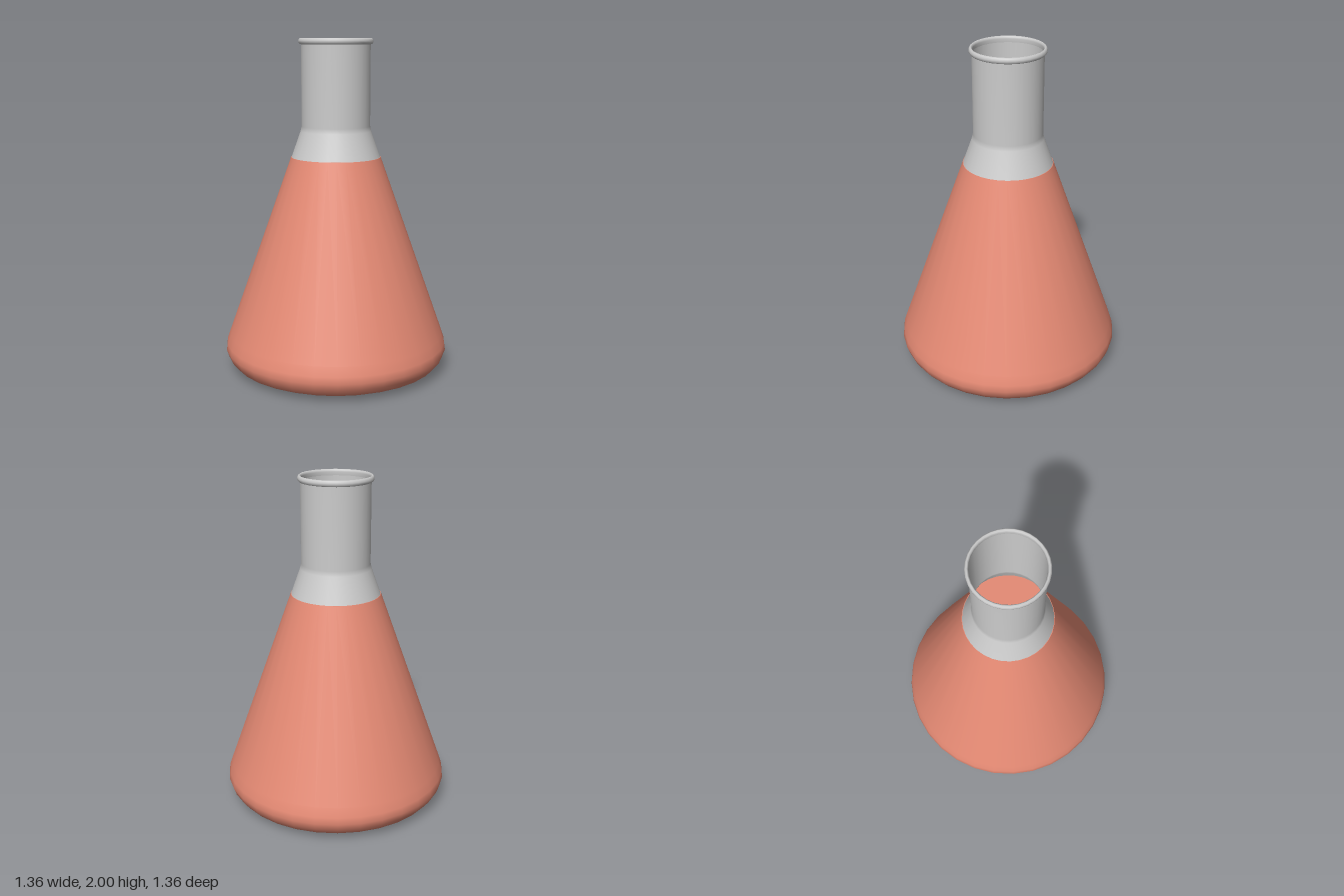
import * as THREE from 'three';

const SIDES = 32;

function lathe(name, profile, material) {
  const points = profile.map(([r, y]) => new THREE.Vector2(r, y));
  const mesh = new THREE.Mesh(new THREE.LatheGeometry(points, SIDES), material);
  mesh.name = name;
  return mesh;
}

export function createModel() {
  const group = new THREE.Group();
  group.name = 'conicalFlask';
  const glass = new THREE.MeshStandardMaterial({ color: 0xcccccc, side: THREE.DoubleSide });
  const liquid = new THREE.MeshStandardMaterial({ color: 0xe58a74, side: THREE.DoubleSide });

  // Rounded base and the start of the cone, shared by glass and liquid
  const base = [
    [0, 0.004], [0.3, 0.006], [0.5, 0.011], [0.58, 0.022], [0.63, 0.045],
    [0.662, 0.082], [0.677, 0.125], [0.671, 0.165], [0.652, 0.22],
  ];

  // Thin glass wall: base, cone, shoulder and straight neck
  group.add(lathe('glassBody', [
    ...base, [0.266, 1.3], [0.211, 1.455], [0.205, 1.485], [0.205, 1.98],
  ], glass));

  // Rolled bead around the mouth
  group.add(lathe('rim', [
    [0.203, 1.963], [0.213, 1.965], [0.22, 1.973], [0.221, 1.984],
    [0.217, 1.995], [0.21, 2], [0.203, 1.995], [0.2, 1.984], [0.203, 1.963],
  ], glass));

  // Liquid fills the cone, a hair outside the thin glass so its colour shows
  const skin = 0.003;
  group.add(lathe('liquid', [
    ...base.map(([r, y], i) => [r === 0 ? 0 : r + skin, i < 5 ? y - skin : y]),
    [0.266 + skin, 1.3],
  ], liquid));

  // Flat top of the liquid, seen through the mouth
  const surface = new THREE.Mesh(new THREE.CircleGeometry(0.266 + skin, SIDES), liquid);
  surface.name = 'liquidSurface';
  surface.rotation.x = -Math.PI / 2;
  surface.position.y = 1.3;
  group.add(surface);

  return group;
}
